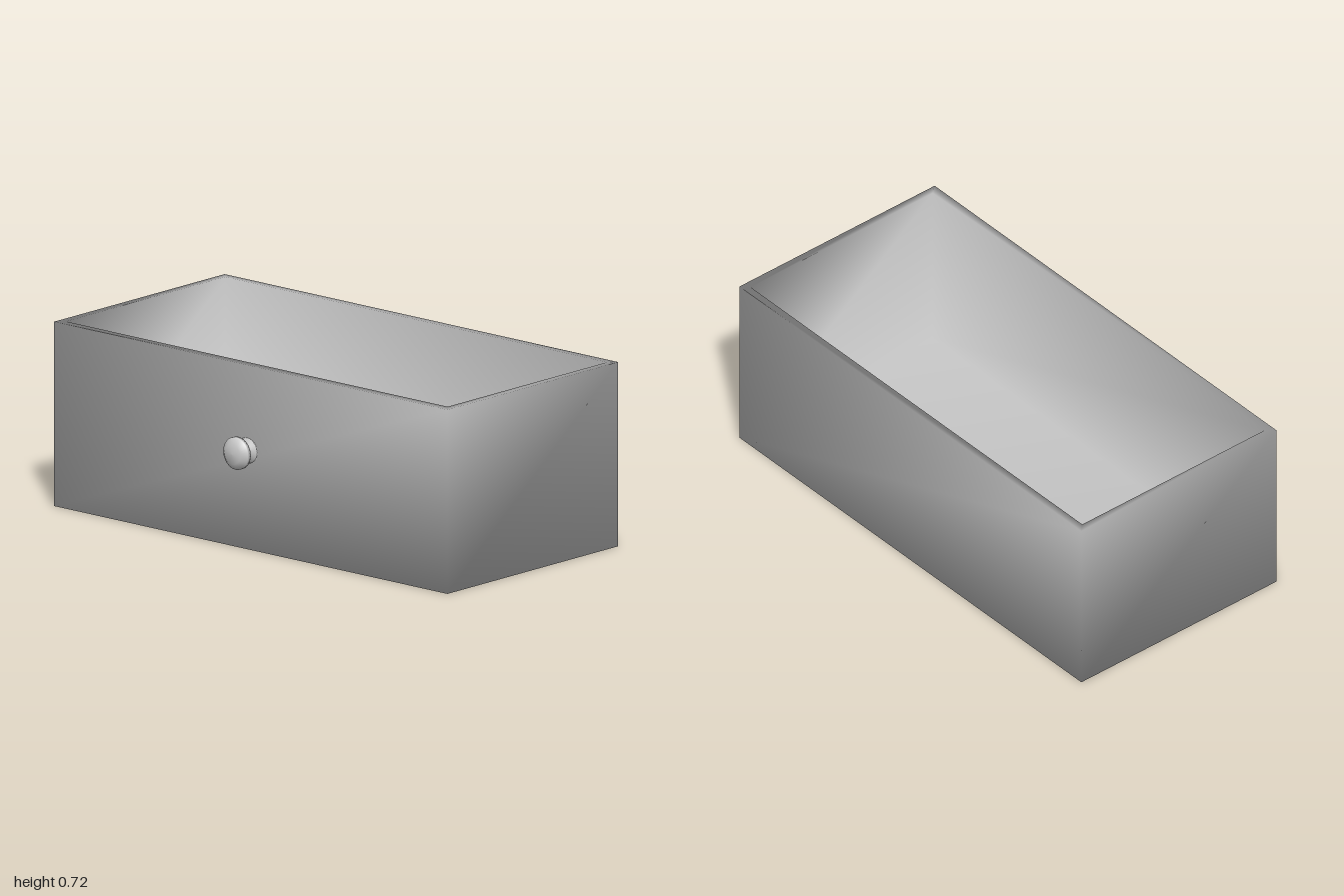
import * as THREE from 'three';

const material = new THREE.MeshStandardMaterial({ color: 0xcccccc });

// Open box skinned through four rectangular rings, sharing corners for smooth normals
function openBox() {
  // each ring: half width, back z, front z, y
  const rings = [
    [1, -0.53, 0.44, 0],          // outer bottom
    [1, -0.53, 0.44, 0.72],       // outer rim
    [0.97, -0.5, 0.405, 0.72],    // inner rim
    [0.97, -0.5, 0.405, 0.03],    // floor
  ];
  const positions = [];
  for (const [w, back, front, y] of rings) {
    positions.push(-w, y, front, w, y, front, w, y, back, -w, y, back);
  }
  const index = [];
  const quad = (a, b, c, d) => index.push(a, b, c, a, c, d);
  for (let r = 0; r < rings.length - 1; r++) {
    for (let i = 0; i < 4; i++) {
      const j = (i + 1) % 4;
      quad(r * 4 + i, r * 4 + j, r * 4 + 4 + j, r * 4 + 4 + i);
    }
  }
  quad(12, 13, 14, 15); // floor, facing up
  quad(3, 2, 1, 0);     // underside
  const geometry = new THREE.BufferGeometry();
  geometry.setAttribute('position', new THREE.Float32BufferAttribute(positions, 3));
  geometry.setIndex(index);
  geometry.computeVertexNormals();
  return geometry;
}

// Turned knob: flared foot, neck and chamfered head
function turnedKnob() {
  const profile = [
    [0, 0], [0.052, 0], [0.047, 0.003], [0.033, 0.013], [0.029, 0.016],
    [0.029, 0.052], [0.063, 0.052], [0.063, 0.068], [0.039, 0.088], [0, 0.09],
  ].map(([r, h]) => new THREE.Vector2(r, h));
  return new THREE.LatheGeometry(profile, 32).rotateX(Math.PI / 2);
}

export function createModel() {
  const group = new THREE.Group();
  group.name = 'drawer';

  const box = new THREE.Mesh(openBox(), material);
  box.name = 'drawerBox';
  group.add(box);

  const knob = new THREE.Mesh(turnedKnob(), material);
  knob.name = 'knob';
  knob.position.set(-0.015, 0.387, 0.44);
  group.add(knob);

  return group;
}
